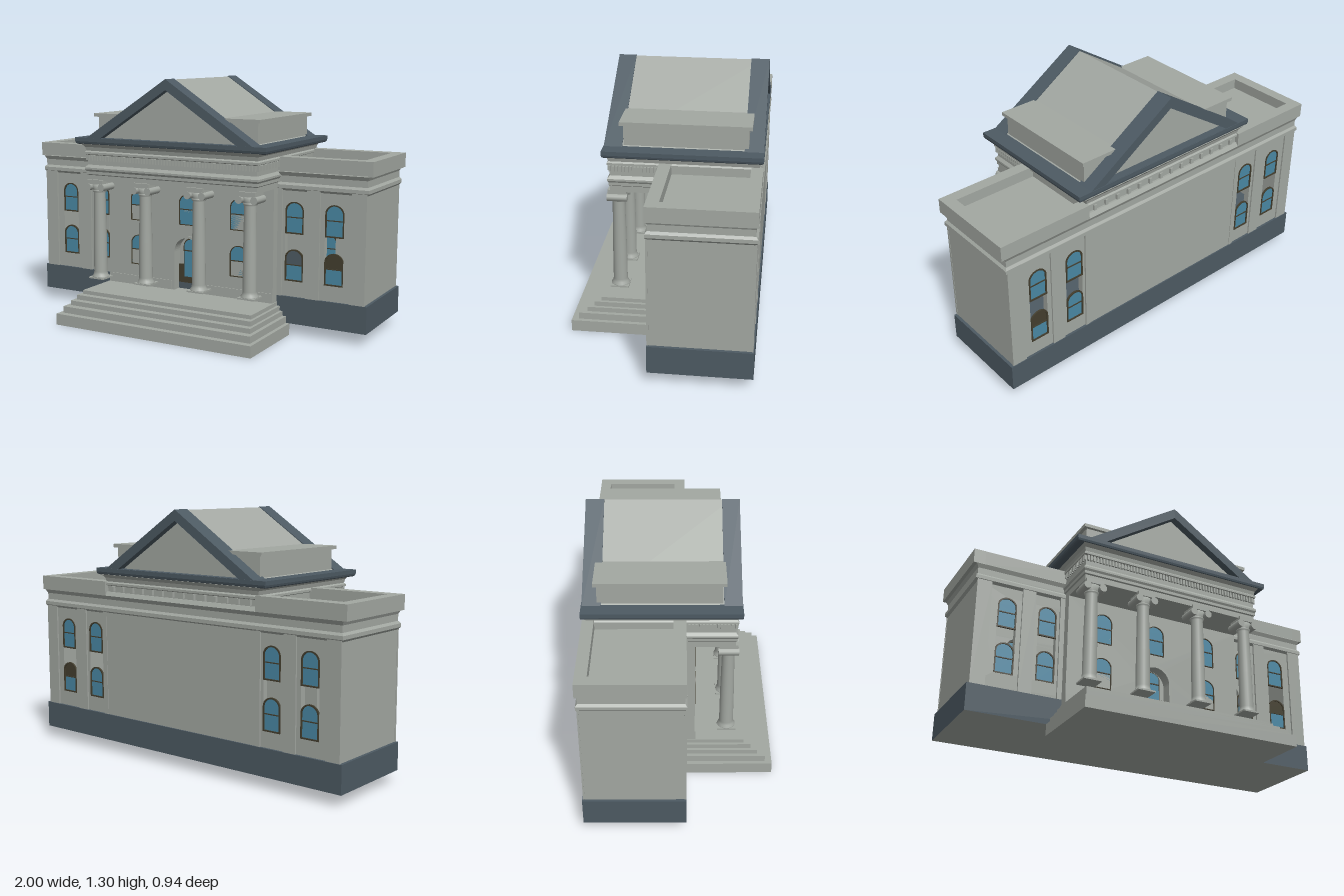
import * as THREE from 'three';
import { mergeGeometries } from 'three/addons/utils/BufferGeometryUtils.js';

const mat = (name, color, side = THREE.FrontSide) => {
  const m = new THREE.MeshStandardMaterial({ color, side });
  m.name = name;
  return m;
};

export function createModel() {
  const root = new THREE.Group();
  root.name = 'columnedHall';
  const stone = mat('stone', 0xa3a8a2);
  const slate = mat('slate', 0x4d5a63);
  const glass = mat('glass', 0x4a88a4, THREE.DoubleSide);
  const bronze = mat('darkBronze', 0x433e2e, THREE.DoubleSide);

  const add = (name, geo, material, parent = root) => {
    const m = new THREE.Mesh(geo, material);
    m.name = name;
    parent.add(m);
    return m;
  };
  const boxGeo = (x0, x1, y0, y1, z0, z1) =>
    new THREE.BoxGeometry(x1 - x0, y1 - y0, z1 - z0).translate((x0 + x1) / 2, (y0 + y1) / 2, (z0 + z1) / 2);
  const box = (name, material, ...b) => add(name, boxGeo(...b), material);

  // Rectangular moulding: profile of [outset, y] carried around a footprint
  const moulding = (x0, x1, z0, z1, profile) => {
    const rings = profile.map(([o, y]) => [
      [x0 - o, y, z1 + o], [x1 + o, y, z1 + o], [x1 + o, y, z0 - o], [x0 - o, y, z0 - o]]);
    const pos = [];
    const quad = (a, b, c, d) => pos.push(...a, ...b, ...c, ...a, ...c, ...d);
    for (let i = 0; i < rings.length - 1; i++) {
      for (let k = 0; k < 4; k++) {
        const n = (k + 1) % 4;
        quad(rings[i][k], rings[i][n], rings[i + 1][n], rings[i + 1][k]);
      }
    }
    const b = rings[0], t = rings[rings.length - 1];
    quad(t[0], t[1], t[2], t[3]);
    quad(b[0], b[3], b[2], b[1]);
    const g = new THREE.BufferGeometry();
    g.setAttribute('position', new THREE.Float32BufferAttribute(pos, 3));
    g.computeVertexNormals();
    return g;
  };

  // Arched outline, used for windows, the door and wall openings
  const arch = (Type, x, y0, y1, hw, rise) => {
    const p = new Type();
    p.moveTo(x - hw, y0);
    p.lineTo(x + hw, y0);
    p.lineTo(x + hw, y1 - rise);
    p.absellipse(x, y1 - rise, hw, rise, 0, Math.PI, false, 0);
    p.lineTo(x - hw, y0);
    return p;
  };
  const rect = (x0, x1, y0, y1) => new THREE.Shape([[x0, y0], [x1, y0], [x1, y1], [x0, y1]].map(p => new THREE.Vector2(...p)));
  const extrude = (shape, z0, z1) =>
    new THREE.ExtrudeGeometry(shape, { depth: z1 - z0, bevelEnabled: false, curveSegments: 12 }).translate(0, 0, z0);

  // Main block: slate base with stone underside, hollow walls with tall window slots
  box('base', [slate, slate, slate, stone, slate, slate], -0.985, 0.985, 0.06, 0.2, -0.467, 0.03);
  const bays = [-0.805, -0.59, 0.59, 0.805];
  const slottedWall = () => {
    const s = rect(-0.97, 0.97, 0.2, 0.76);
    bays.forEach(x => s.holes.push(arch(THREE.Path, x, 0.28, 0.69, 0.05, 0.045)));
    return s;
  };
  add('frontWall', extrude(slottedWall(), -0.01, 0.02), stone);
  add('backWall', extrude(slottedWall(), -0.455, -0.425), stone);
  for (const s of [-1, 1]) {
    const side = (a, b) => (s > 0 ? [a, b] : [-b, -a]);
    box('sideWall', stone, ...side(0.94, 0.97), 0.2, 0.76, -0.425, -0.01);
    // Flat pilaster strips beside the windows
    for (const [a, b] of [[0.5, 0.525], [0.66, 0.73], [0.895, 0.972]]) {
      box('frontPilaster', stone, ...side(a, b), 0.2, 0.755, 0.02, 0.03);
      box('backPilaster', stone, ...side(a, b), 0.2, 0.755, -0.463, -0.455);
    }
    // Parapet around each wing roof
    const parapet = [
      boxGeo(...side(0.94, 1), 0.84, 0.915, -0.467, 0.03),
      boxGeo(...side(0.5, 0.94), 0.84, 0.915, -0.03, 0.03),
      boxGeo(...side(0.5, 0.94), 0.84, 0.915, -0.467, -0.41)];
    add('wingParapet', mergeGeometries(parapet), stone);
  }
  add('wingCornice', moulding(-0.97, 0.97, -0.455, 0.02,
    [[0, 0.745], [0.012, 0.757], [0.012, 0.775], [0.002, 0.787], [0.002, 0.82], [0.012, 0.84], [0, 0.86]]), stone);

  // Arched window: panes, frame and glazing bar
  const windowAt = (x, y, z, { back = false, upper = glass, rim = 0.007 } = {}) => {
    const g = new THREE.Group();
    g.name = 'archedWindow';
    const outline = arch(THREE.Shape, 0, 0, 0.165, 0.05, 0.045);
    outline.holes.push(arch(THREE.Path, 0, rim, 0.165 - rim, 0.05 - rim, 0.045 - rim / 2));
    add('windowFrame', extrude(outline, 0, 0.009), bronze, g);
    add('lowerPane', new THREE.ShapeGeometry(rect(-0.047, 0.047, 0.003, 0.085)).translate(0, 0, 0.003), glass, g);
    add('upperPane', new THREE.ShapeGeometry(arch(THREE.Shape, 0, 0.085, 0.162, 0.047, 0.043)).translate(0, 0, 0.004), upper, g);
    add('glazingBar', boxGeo(-0.045, 0.045, 0.082, 0.087, 0, 0.008), bronze, g);
    g.position.set(x, y, z);
    if (back) g.rotation.y = Math.PI;
    root.add(g);
  };
  for (const x of bays) {
    for (const y of [0.28, 0.525]) {
      const low = y < 0.5;
      const upper = low && x === 0.805 ? bronze : glass;
      windowAt(x, y, 0.012, { upper: low && x === 0.59 ? slate : upper });
      windowAt(x, y, -0.45, { back: true, upper });
    }
  }

  // Projecting centre wall with arched doorway
  const centre = rect(-0.5, 0.5, 0.165, 0.76);
  centre.holes.push(arch(THREE.Path, 0, 0.166, 0.455, 0.08, 0.08));
  add('centreWall', extrude(centre, 0.02, 0.075), stone);
  const surround = arch(THREE.Shape, 0, 0.166, 0.468, 0.093, 0.093);
  surround.holes.push(arch(THREE.Path, 0, 0.166, 0.455, 0.08, 0.08));
  add('doorSurround', extrude(surround, 0.075, 0.08), stone);
  box('doorPanel', bronze, -0.08, 0.08, 0.166, 0.3, 0.022, 0.03);
  add('doorFrame', extrude(arch(THREE.Shape, 0, 0.225, 0.447, 0.05, 0.045), 0.022, 0.032), bronze);
  add('doorGlass', extrude(arch(THREE.Shape, 0, 0.235, 0.44, 0.042, 0.037), 0.032, 0.037), glass);
  box('doorBar', bronze, -0.042, 0.042, 0.376, 0.382, 0.037, 0.041);
  for (const x of [-0.305, 0.305]) [0.28, 0.525].forEach(y => windowAt(x, y, 0.072, { rim: 0.004 }));
  windowAt(0, 0.525, 0.072, { rim: 0.004 });
  for (const s of [-1, 1]) box('wallPlinth', stone, s < 0 ? -0.5 : 0.1, s < 0 ? -0.1 : 0.5, 0.165, 0.215, 0.075, 0.08);
  box('backPanel', stone, -0.5, 0.5, 0.2, 0.75, -0.46, -0.455);

  // Steps
  const steps = [[0.575, 0.06, 0.475], [0.555, 0.095, 0.44], [0.535, 0.12, 0.4], [0.52, 0.145, 0.365], [0.505, 0.165, 0.33]];
  steps.forEach(([hw, top, z], i) => box('step', stone, -hw, hw, i ? steps[i - 1][1] : 0, top, 0.03, z));

  // Columns with scrolled capitals
  const shaft = [[0, 0.225], [0.046, 0.225], [0.046, 0.235], [0.038, 0.245], [0.036, 0.26], [0.035, 0.45],
    [0.031, 0.69], [0.037, 0.697], [0.037, 0.704], [0.032, 0.708], [0.042, 0.74], [0, 0.74]].map(p => new THREE.Vector2(...p));
  for (const x of [-0.45, -0.16, 0.16, 0.45]) {
    const c = new THREE.Group();
    c.name = 'column';
    add('shaft', new THREE.LatheGeometry(shaft, 20), stone, c);
    add('abacus', boxGeo(-0.048, 0.048, 0.738, 0.762, -0.046, 0.046), stone, c);
    add('columnFoot', boxGeo(-0.047, 0.047, 0.223, 0.231, -0.047, 0.047), stone, c);
    for (const s of [-1, 1]) {
      add('scroll', new THREE.CylinderGeometry(0.02, 0.02, 0.1, 12).rotateX(Math.PI / 2).translate(s * 0.042, 0.722, 0), stone, c);
    }
    c.position.set(x, 0, 0.238);
    root.add(c);
  }

  // Entablature over the portico and centre block
  add('entablature', moulding(-0.5, 0.5, -0.445, 0.27,
    [[0, 0.755], [0, 0.785], [0.006, 0.79], [0.006, 0.805], [0.012, 0.815], [0.012, 0.825], [0, 0.84], [0, 0.892],
      [0.012, 0.897], [0.012, 0.908], [0.005, 0.915], [0.01, 0.935], [0.024, 0.952]]), stone);

  // Small tooth blocks under the cornice
  const teeth = [];
  for (let i = 0; i < 58; i++) {
    const x = -0.49 + i * 0.0172;
    teeth.push(boxGeo(x - 0.005, x + 0.005, 0.864, 0.892, 0.268, 0.281));
  }
  for (let i = 0; i < 14; i++) {
    const z = 0.045 + i * 0.0172;
    for (const s of [-1, 1]) teeth.push(boxGeo(s * 0.505 - 0.006, s * 0.505 + 0.006, 0.864, 0.892, z - 0.005, z + 0.005));
    const x = -0.455 + i * 0.07;
    teeth.push(boxGeo(x - 0.008, x + 0.008, 0.864, 0.892, -0.458, -0.443));
  }
  add('dentils', mergeGeometries(teeth), stone);

  // Slate eave, gabled roof and raking frames
  add('eave', moulding(-0.545, 0.545, -0.455, 0.285,
    [[0.005, 0.95], [0.012, 0.955], [0.015, 0.965], [0.015, 0.985]]), slate);
  const tri = (Type, hw, y0, y1) =>
    new Type([[-hw, y0], [hw, y0], [0, y1]].map(p => new THREE.Vector2(...p)));
  add('gableRoof', extrude(tri(THREE.Shape, 0.485, 0.98, 1.296), -0.425, 0.255), stone);
  for (const [z0, z1] of [[0.21, 0.298], [-0.467, -0.375]]) {
    const frame = tri(THREE.Shape, 0.495, 0.98, 1.3);
    frame.holes.push(tri(THREE.Path, 0.4, 0.986, 1.245));
    add('gableFrame', extrude(frame, z0, z1), slate);
  }

  // Low attic blocks with capping slabs at both sides of the roof
  for (const s of [-1, 1]) {
    const side = (a, b) => (s > 0 ? [a, b] : [-b, -a]);
    box('atticWall', stone, ...side(0.28, 0.472), 0.98, 1.092, -0.395, 0.205);
    box('atticSlab', stone, ...side(0.28, 0.49), 1.092, 1.11, -0.41, 0.222);
  }
  return root;
}
